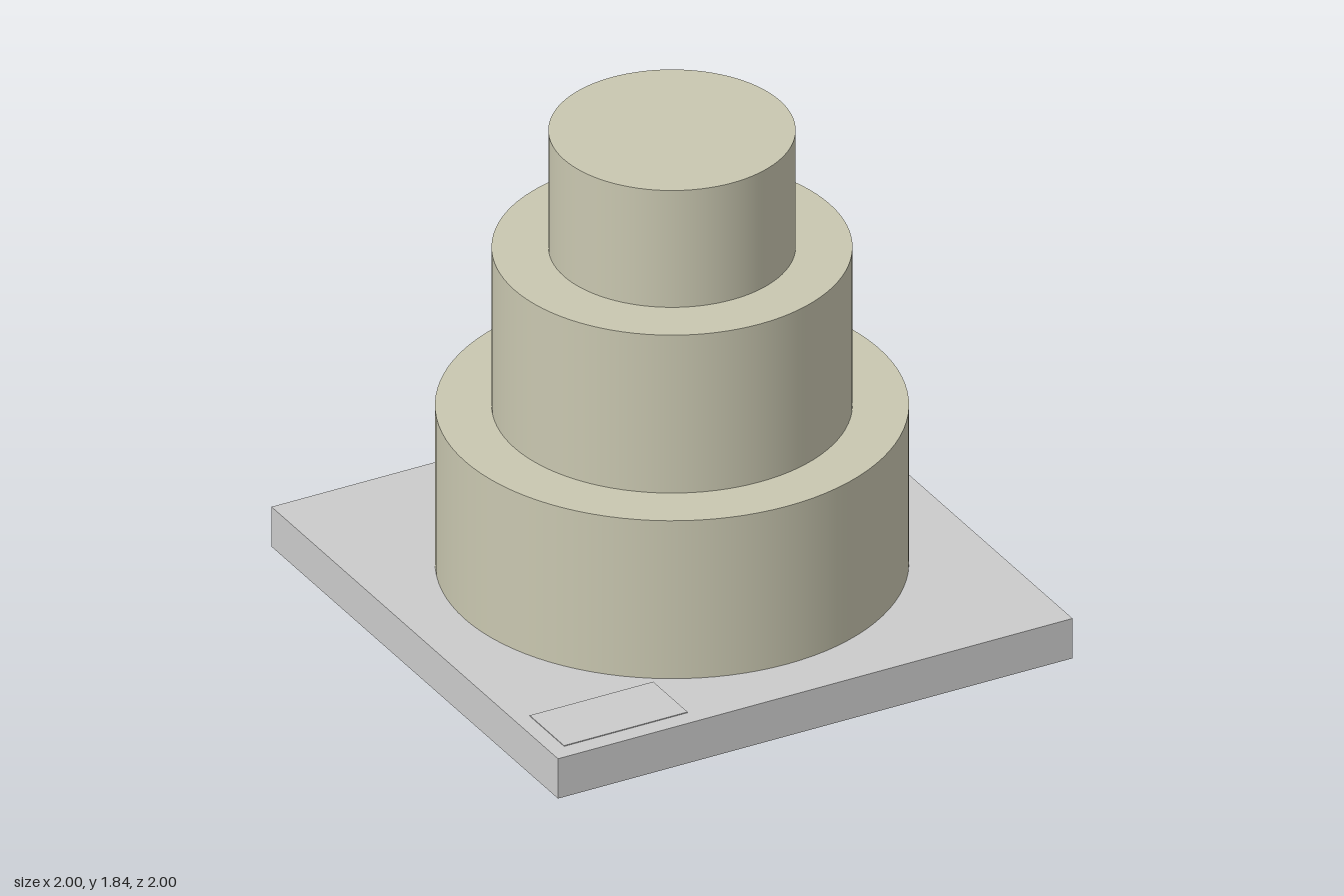
import * as THREE from 'three';

export function createModel() {
  const model = new THREE.Group();
  const grey = new THREE.MeshStandardMaterial({ color: 0xcccccc });
  const cream = new THREE.MeshStandardMaterial({ color: 0xc9c7b0 });

  const add = (name, geometry, material, x, y, z) => {
    const mesh = new THREE.Mesh(geometry, material);
    mesh.name = name;
    mesh.position.set(x, y, z);
    model.add(mesh);
  };

  // Square board under the cake
  const boardHeight = 0.155;
  add('board', new THREE.BoxGeometry(2, boardHeight, 2), grey, 0, boardHeight / 2, 0);

  // Blank label plate on the front corner of the board
  add('labelPlate', new THREE.BoxGeometry(0.48, 0.004, 0.24), grey, -0.7, boardHeight + 0.001, 0.815);

  // Three stacked round tiers
  const tiers = [
    ['bottomTier', 0.805, 0.615],
    ['middleTier', 0.613, 0.615],
    ['topTier', 0.42, 0.455],
  ];
  let y = boardHeight;
  for (const [name, radius, height] of tiers) {
    add(name, new THREE.CylinderGeometry(radius, radius, height, 96), cream, 0, y + height / 2, 0);
    y += height;
  }

  return model;
}
